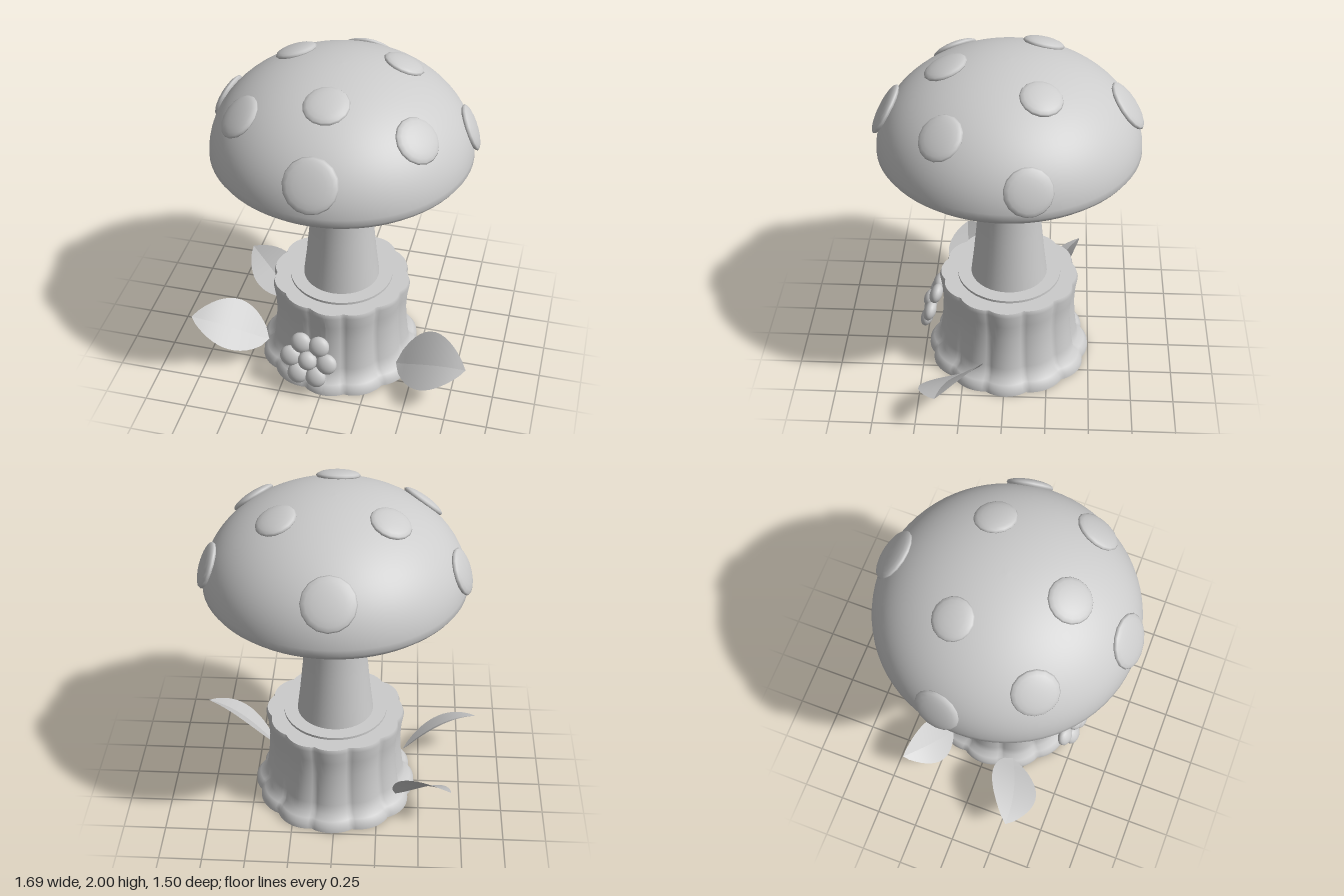
import * as THREE from 'three';

export function createModel() {
  const model = new THREE.Group();
  const grey = new THREE.MeshStandardMaterial({ color: 0xcccccc, side: THREE.DoubleSide });
  grey.name = 'plain grey';
  const add = (name, geometry, x = 0, y = 0, z = 0, parent = model) => {
    const mesh = new THREE.Mesh(geometry, grey);
    mesh.name = name;
    mesh.position.set(x, y, z);
    parent.add(mesh);
    return mesh;
  };
  const lathe = (pts, sides) => new THREE.LatheGeometry(pts.map(p => new THREE.Vector2(...p)), sides);
  const CX = 0.012, CZ = -0.012;

  // Fluted stump: turned profiles pushed in along twelve grooves
  const fluted = (pts) => {
    const g = lathe(pts, 144), p = g.attributes.position;
    for (let i = 0; i < p.count; i++) {
      const x = p.getX(i), z = p.getZ(i), a = Math.atan2(z, x);
      const k = 0.955 + 0.05 * Math.pow(Math.abs(Math.cos(6 * a)), 0.8) + 0.008 * Math.sin(5 * a + 1);
      p.setX(i, x * k);
      p.setZ(i, z * k);
    }
    g.computeVertexNormals();
    return g;
  };
  add('stumpBark', fluted([[0.485, 0], [0.482, 0.035], [0.46, 0.065], [0.425, 0.09], [0.412, 0.15], [0.4, 0.25],
    [0.393, 0.36], [0.398, 0.46], [0.41, 0.54], [0.402, 0.565]]), CX, 0, CZ);
  add('stumpTop', fluted([[0.402, 0.565], [0, 0.565]]), CX, 0, CZ);
  add('stumpBottom', fluted([[0, 0], [0.485, 0]]), CX, 0, CZ);
  add('stumpRing', new THREE.CylinderGeometry(0.305, 0.305, 0.02, 48), CX, 0.57, CZ);

  // Stem, flared at both ends
  add('stem', lathe([[0.226, 0.57], [0.208, 0.72], [0.19, 0.9], [0.178, 1.05], [0.173, 1.24],
    [0.186, 1.32], [0.205, 1.38], [0.224, 1.42]], 40), CX, 0, CZ);

  // Cap: half ellipsoid above a turned-in rim, with a flat underside
  const R = 0.735, H = 0.53, Y0 = 1.47;
  const dome = [[0.69, 1.42], [0.718, 1.445]];
  for (let i = 0; i <= 24; i++) {
    const t = i / 24 * Math.PI / 2;
    dome.push([Math.max(R * Math.cos(t), 0), Y0 + H * Math.sin(t)]);
  }
  add('cap', lathe(dome, 72), CX, 0, CZ);
  add('capUnderside', new THREE.CircleGeometry(0.69, 72).rotateX(Math.PI / 2), CX, 1.42, CZ);

  // Raised spots lying on the dome: x, z, radius
  const spots = [[0.012, 0.668, 0.15], [0.012, 0.33, 0.125], [-0.465, 0.32, 0.13], [0.49, 0.32, 0.13],
    [-0.29, -0.19, 0.117], [0.315, -0.19, 0.117], [-0.68, -0.14, 0.132], [0.705, -0.14, 0.132], [0.012, -0.655, 0.148]];
  const up = new THREE.Vector3(0, 1, 0);
  for (const [x, z, r] of spots) {
    const dx = x - CX, dz = z - CZ;
    const h = H * Math.sqrt(Math.max(0, 1 - (dx * dx + dz * dz) / (R * R)));
    const n = new THREE.Vector3(dx / (R * R), h / (H * H), dz / (R * R)).normalize();
    const spot = add('capSpot', new THREE.SphereGeometry(1, 16, 10), x, Y0 + h, z);
    spot.scale.set(r, 0.033, r);
    spot.quaternion.setFromUnitVectors(up, n);
  }

  // Flower: six petals round a centre, leaning back on the bark
  const flower = new THREE.Group();
  flower.name = 'flower';
  flower.position.set(-0.075, 0.255, 0.46);
  flower.rotation.set(-0.32, -0.1, 0, 'YXZ');
  model.add(flower);
  for (let i = 0; i < 6; i++) {
    const a = i * Math.PI / 3;
    add('petal', new THREE.SphereGeometry(0.063, 18, 12), 0.113 * Math.cos(a), 0.113 * Math.sin(a), 0, flower)
      .scale.z = 0.6;
  }
  add('flowerCentre', new THREE.SphereGeometry(0.058, 18, 12), 0, 0, 0.015, flower).scale.z = 0.75;

  // Leaves: two creased halves running along a curved midrib
  const leaf = (base, mid, tip, side, fold) => {
    const V = (a) => new THREE.Vector3(...a);
    const b = V(base), m = V(mid), t = V(tip), s = V(side);
    const ctrl = m.clone().multiplyScalar(2).addScaledVector(b, -0.5).addScaledVector(t, -0.5);
    const rib = new THREE.QuadraticBezierCurve3(b, ctrl, t);
    const group = new THREE.Group();
    group.name = 'leaf';
    model.add(group);
    const N = 14;
    for (const sign of [-1, 1]) {
      const pos = [], idx = [];
      for (let i = 0; i <= N; i++) {
        const u = i / N, w = Math.pow(Math.sin(Math.PI * Math.pow(u, 0.85)), 0.8) || 0;
        const c = rib.getPoint(u);
        const e = c.clone().addScaledVector(s, sign * w);
        c.y -= fold * w;
        pos.push(c.x, c.y, c.z, e.x, e.y, e.z);
        if (i < N) {
          const k = 2 * i;
          idx.push(...(sign > 0 ? [k, k + 2, k + 1, k + 1, k + 2, k + 3] : [k, k + 1, k + 2, k + 1, k + 3, k + 2]));
        }
      }
      const g = new THREE.BufferGeometry();
      g.setAttribute('position', new THREE.Float32BufferAttribute(pos, 3));
      g.setIndex(idx);
      g.computeVertexNormals();
      add('leafHalf', g, 0, 0, 0, group);
    }
  };
  leaf([0.4, 0.1, 0.2], [0.62, 0.265, 0.31], [0.84, 0.295, 0.37], [0, 0.08, -0.17], 0.035);
  leaf([-0.4, 0.1, 0.18], [-0.62, 0.265, 0.27], [-0.85, 0.29, 0.3], [0, 0.075, -0.145], 0.035);
  leaf([-0.36, 0.1, -0.24], [-0.515, 0.255, -0.31], [-0.68, 0.3, -0.44], [0.095, 0.075, -0.07], 0.025);

  return model;
}
